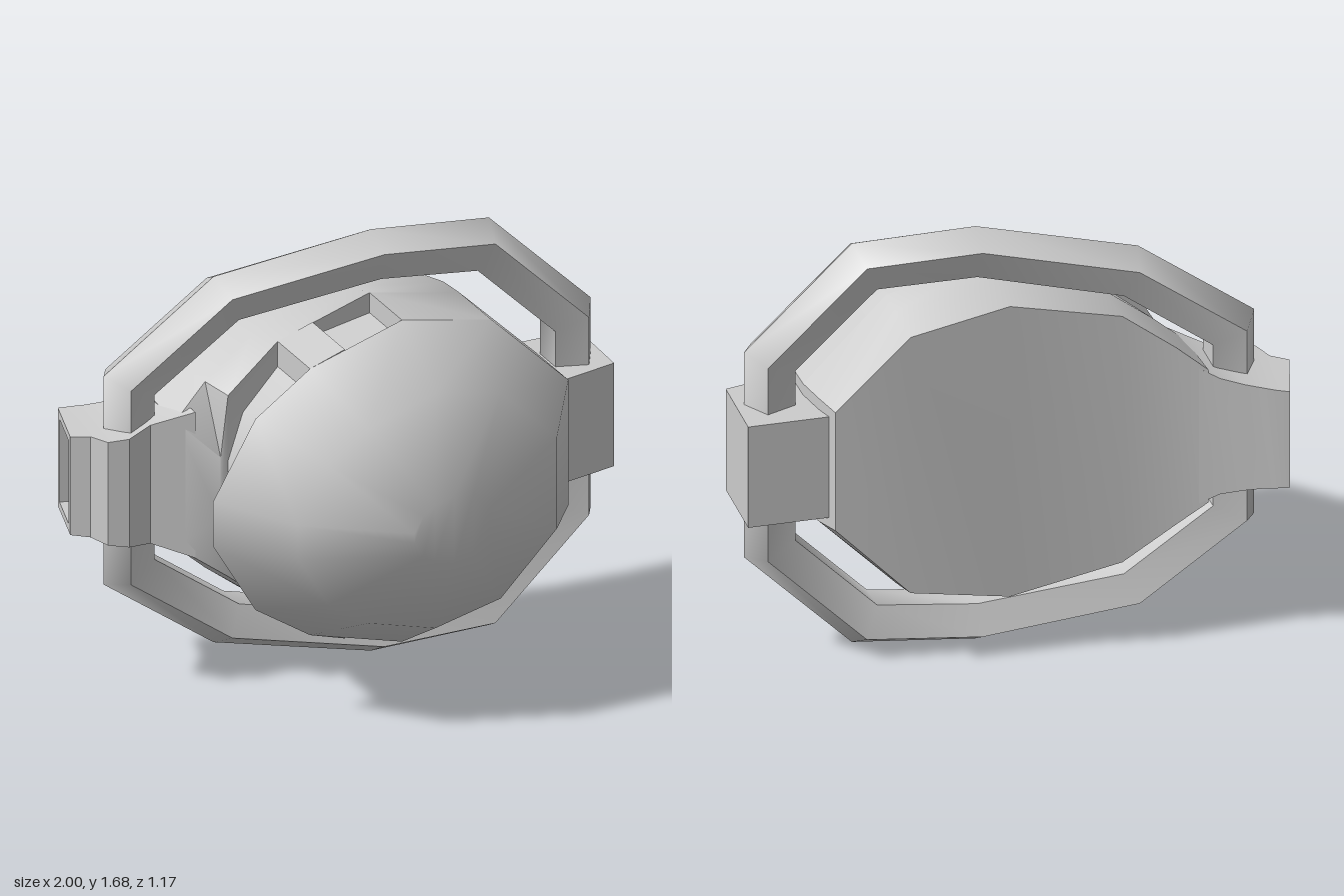
import * as THREE from 'three';
import { toCreasedNormals } from 'three/addons/utils/BufferGeometryUtils.js';

const MID_Y = 0.84;

// Half outline (right to left, y >= 0) mirrored into a full loop
const mirror = (half) => [...half, ...half.map(([x, y, z]) => [x, -y, z]).reverse()];

// Skin over equal-length loops; caps are strips between mirrored points
function loft(rings, startCap, endCap, crease) {
  const n = rings[0].length;
  const index = [];
  for (let k = 0; k < rings.length - 1; k++) {
    for (let i = 0; i < n; i++) {
      const a = k * n + i, b = k * n + (i + 1) % n;
      index.push(a, b, b + n, a, b + n, a + n);
    }
  }
  const cap = (base, flip) => {
    for (let i = 0; i < n / 2 - 1; i++) {
      const [a, b, c, d] = [i, i + 1, n - 2 - i, n - 1 - i].map((v) => v + base);
      if (flip) index.push(a, c, b, a, d, c);
      else index.push(a, b, c, a, c, d);
    }
  };
  if (startCap) cap(0, true);
  if (endCap) cap((rings.length - 1) * n, false);
  const geo = new THREE.BufferGeometry();
  geo.setAttribute('position', new THREE.Float32BufferAttribute(rings.flat(2), 3));
  geo.setIndex(index);
  return toCreasedNormals(geo, crease);
}

function extrude(points, depth) {
  const shape = new THREE.Shape(points.map(([x, y]) => new THREE.Vector2(x, y)));
  return new THREE.ExtrudeGeometry(shape, { depth, bevelEnabled: false });
}

export function createModel() {
  const model = new THREE.Group();
  const material = new THREE.MeshStandardMaterial({ color: 0xcccccc });
  const add = (name, geometry) => {
    const mesh = new THREE.Mesh(geometry, material);
    mesh.name = name;
    mesh.position.y = MID_Y;
    model.add(mesh);
    return mesh;
  };

  // Rounded front dome
  const rim = [[0.74, 0.25], [0.43, 0.56], [0.07, 0.64], [-0.3, 0.53], [-0.52, 0.38], [-0.69, 0.09]];
  const domeRings = [[0.15, 1], [0.42, 0.73], [0.585, 0.21]].map(([z, s]) =>
    mirror(rim.map(([x, y]) => [0.05 + (x - 0.05) * s, y * s, z])));
  add('dome', loft(domeRings, true, true, 1));

  // Middle band, with a slot around one side and a small recess above and below
  const band = mirror([
    [0.74, 0.25], [0.43, 0.56], [0.07, 0.64], [0.07, 0.56], [-0.16, 0.52], [-0.16, 0.575],
    [-0.3, 0.53], [-0.3, 0.43], [-0.44, 0.28], [-0.5, 0.1],
  ]);
  add('slottedBand', toCreasedNormals(extrude(band, 0.25), 0.6)).position.z = -0.1;

  // Rear body with a gently curved back plate
  add('rearBody', loft([
    mirror([[0.69, 0.24, -0.325], [0.42, 0.52, -0.36], [0.05, 0.59, -0.37],
      [-0.36, 0.5, -0.405], [-0.55, 0.36, -0.44], [-0.66, 0.27, -0.475]]),
    mirror([[0.72, 0.25, -0.22], [0.43, 0.55, -0.22], [0.06, 0.615, -0.22],
      [-0.34, 0.52, -0.22], [-0.53, 0.37, -0.22], [-0.66, 0.25, -0.2]]),
    mirror([[0.74, 0.25, -0.1], [0.43, 0.56, -0.1], [0.07, 0.64, -0.1],
      [-0.3, 0.53, -0.1], [-0.5, 0.36, -0.1], [-0.53, 0.12, -0.1]]),
  ], true, true, 0.7));

  // Side arm: front x, z, back x, z, half height; the end is a hollow socket
  const armRings = [
    [-0.6, -0.16, -0.6, -0.455, 0.29],
    [-0.74, -0.24, -0.7, -0.49, 0.235],
    [-0.84, -0.21, -0.78, -0.525, 0.215],
    [-0.91, -0.24, -0.84, -0.55, 0.205],
    [-0.94, -0.32, -0.88, -0.57, 0.2],
    [-1, -0.36, -0.93, -0.59, 0.195],
    [-0.991, -0.39, -0.939, -0.56, 0.165],
    [-0.92, -0.37, -0.87, -0.54, 0.165],
  ].map(([fx, fz, bx, bz, h]) => [[fx, -h, fz], [fx, h, fz], [bx, h, bz], [bx, -h, bz]]);
  add('sideArm', loft(armRings, true, true, 0.35));

  // Tilted hoop swept around the body with mitred corners
  const path = mirror([[0.875, 0.38, -0.105], [0.53, 0.725, -0.135], [0.13, 0.75, -0.195],
    [-0.41, 0.645, -0.315], [-0.785, 0.37, -0.345]]);
  const section = [[-0.085, 0.06], [0.03, 0.1], [0.088, 0], [0.03, -0.1], [-0.085, -0.06]];
  const edgeNormal = (a, b) => new THREE.Vector2(b[1] - a[1], a[0] - b[0]).normalize();
  const hoopRings = path.map((p, i) => {
    const before = path[(i + path.length - 1) % path.length];
    const after = path[(i + 1) % path.length];
    const n1 = edgeNormal(before, p), n2 = edgeNormal(p, after);
    const miter = n1.clone().add(n2).normalize();
    miter.divideScalar(miter.dot(n1));
    return section.map(([out, dz]) => [p[0] + miter.x * out, p[1] + miter.y * out, p[2] + dz]);
  });
  hoopRings.push(hoopRings[0]);
  add('hoop', loft(hoopRings, false, false, 0.85));

  // Side block clamping the hoop (plan outline in x and -z, extruded upward)
  const block = extrude([[0.7, -0.075], [0.99, -0.025], [1, 0.27], [0.7, 0.285]], 0.41);
  block.rotateX(-Math.PI / 2);
  block.translate(0, -0.205, 0);
  add('sideBlock', block);

  return model;
}
